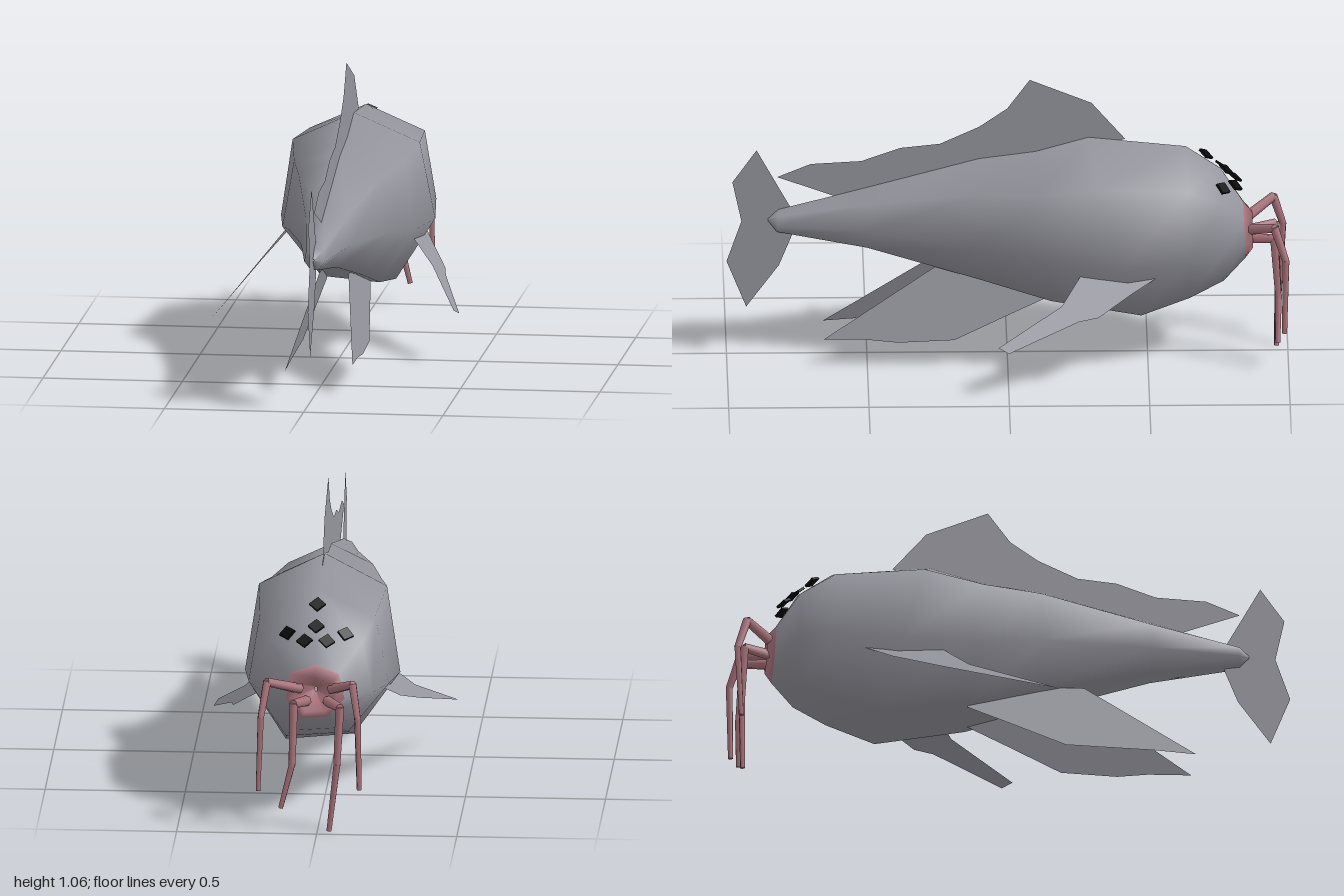
import * as THREE from 'three';
import { mergeGeometries } from 'three/addons/utils/BufferGeometryUtils.js';

const CX = 0.015; // the body's own centre line

// Seven-sided cross-section, clockwise from the ridge of the back
const SECTION = [[0, 1], [0.84, 0.66], [1, -0.26], [0.46, -1], [-0.42, -0.93], [-1, -0.26], [-0.81, 0.66]];

// Rings: [z at top, top y, z at bottom, bottom y, half width]
function loft(rings) {
  const n = SECTION.length, pos = [], idx = [];
  for (const [zt, top, zb, bot, w] of rings) {
    for (const [u, v] of SECTION) {
      const t = (v + 1) / 2;
      pos.push(CX + u * w, bot + (top - bot) * t, zb + (zt - zb) * t);
    }
  }
  for (let i = 0; i < rings.length - 1; i++) {
    for (let j = 0; j < n; j++) {
      const a = i * n + j, b = i * n + (j + 1) % n;
      idx.push(a, b, a + n, b, b + n, a + n);
    }
  }
  const g = new THREE.BufferGeometry();
  g.setAttribute('position', new THREE.Float32BufferAttribute(pos, 3));
  g.setIndex(idx);
  g.computeVertexNormals();
  return g;
}

// Flat outline lifted into space by a rule (u, v) -> [x, y, z]
function fin(outline, place) {
  const g = new THREE.ShapeGeometry(new THREE.Shape(outline.map(([u, v]) => new THREE.Vector2(u, v))));
  const p = g.attributes.position;
  for (let i = 0; i < p.count; i++) p.setXYZ(i, ...place(p.getX(i), p.getY(i)));
  g.computeVertexNormals();
  return g;
}

// Jointed limb tapering from its root to its tip
function limb(points, r0, r1) {
  const pts = points.map(p => new THREE.Vector3(...p));
  const parts = [], up = new THREE.Vector3(0, 1, 0), last = pts.length - 1;
  for (let i = 0; i < last; i++) {
    const d = pts[i + 1].clone().sub(pts[i]);
    const r = k => r0 + (r1 - r0) * k / last;
    const g = new THREE.CylinderGeometry(r(i + 1), r(i), d.length() + 0.006, 6);
    g.applyQuaternion(new THREE.Quaternion().setFromUnitVectors(up, d.normalize()));
    const m = pts[i].clone().add(pts[i + 1]).multiplyScalar(0.5);
    parts.push(g.translate(m.x, m.y, m.z));
  }
  return mergeGeometries(parts);
}

export function createModel() {
  const model = new THREE.Group();
  const mat = (name, color) => new THREE.MeshStandardMaterial({ name, color, side: THREE.DoubleSide });
  const grey = mat('skin grey', 0x96969f);
  const pink = mat('flesh pink', 0xac757d);
  const black = mat('eye black', 0x08080a);
  const add = (name, geometry, material) => {
    const mesh = new THREE.Mesh(geometry, material);
    mesh.name = name;
    model.add(mesh);
    return mesh;
  };

  // Body, from the tail tip to the rim of the mouth
  add('body', loft([
    [0.853, 0.53, 0.853, 0.522, 0.004],
    [0.815, 0.565, 0.82, 0.485, 0.036],
    [0.5, 0.648, 0.5, 0.432, 0.088],
    [0.1, 0.757, 0.1, 0.325, 0.183],
    [-0.1, 0.783, -0.155, 0.25, 0.237],
    [-0.29, 0.837, -0.476, 0.2, 0.277],
    [-0.636, 0.8, -0.65, 0.262, 0.25],
    [-0.76, 0.714, -0.77, 0.318, 0.2],
    [-0.84, 0.585, -0.85, 0.39, 0.105],
  ]), grey);

  // Mouth: a rim that folds inward
  add('mouth', loft([
    [-0.84, 0.585, -0.85, 0.39, 0.105],
    [-0.873, 0.545, -0.875, 0.42, 0.075],
    [-0.79, 0.49, -0.79, 0.47, 0.004],
  ]), pink);

  // Back fin and tail fin, outlined in z and y
  const upright = (z, y) => [CX, y, z];
  add('backFin', fin([
    [0.82, 0.69], [0.7, 0.74], [0.52, 0.75], [0.38, 0.8], [0.24, 0.815], [0.1, 0.88], [0, 0.95],
    [-0.08, 1.06], [-0.3, 0.97], [-0.42, 0.83], [-0.3, 0.79], [-0.1, 0.75], [0.1, 0.72], [0.6, 0.61],
  ], upright), grey);
  add('tailFin', fin([
    [0.893, 0.794], [0.979, 0.671], [0.947, 0.52], [1, 0.366], [0.93, 0.19],
    [0.813, 0.35], [0.765, 0.47], [0.765, 0.56],
  ], upright), grey);

  // Side fins, outlined in x and z, sloping down and out
  const sloped = (x, z) => [x, 0.385 - (Math.abs(x) - 0.24) * 1.1, z];
  add('leftSideFin', fin([
    [0.23, -0.55], [0.28, -0.44], [0.34, -0.32], [0.35, -0.25], [0.43, 0], [0.415, 0.037], [0.31, -0.19], [0.22, -0.27],
  ], sloped), grey);
  add('rightSideFin', fin([
    [-0.21, -0.55], [-0.265, -0.44], [-0.32, -0.26], [-0.435, 0.15], [-0.3, -0.17], [-0.2, -0.27],
  ], sloped), grey);

  // Belly fins, outlined in z and y, splayed slightly
  for (const [name, side, x0, drop] of [['leftBellyFin', 1, 0.07, 0], ['rightBellyFin', -1, 0.043, 0.03]]) {
    add(name, fin([
      [0.655, 0.11 - drop], [0.26, 0.36], [-0.1, 0.35], [-0.16, 0.26], [0, 0.19],
      [0.19, 0.105], [0.39, 0.097], [0.5, 0.108 - drop / 2],
    ], (z, y) => [side * (x0 + (0.345 - y) * 0.26), y, z]), grey);
  }

  // Feelers around the mouth
  [
    [[-0.045, 0.5, -0.855], [-0.125, 0.545, -0.95], [-0.145, 0.43, -0.985], [-0.15, 0.165, -0.972]],
    [[-0.03, 0.455, -0.855], [-0.08, 0.46, -0.955], [-0.07, 0.25, -0.965], [-0.042, 0.007, -0.96]],
    [[0.045, 0.455, -0.855], [0.085, 0.47, -0.95], [0.09, 0.25, -0.965], [0.13, 0.09, -0.962]],
    [[0.07, 0.5, -0.855], [0.18, 0.55, -0.95], [0.2, 0.43, -0.99], [0.21, 0.16, -0.985]],
  ].forEach((path, i) => add('feeler' + (i + 1), limb(path, 0.019, 0.009), pink));

  // Diamond eyes on the brow
  [
    [0, 0.77, -0.708], [0, 0.71, -0.78], [0.04, 0.665, -0.812], [-0.04, 0.665, -0.812],
    [0.104, 0.68, -0.768], [-0.104, 0.68, -0.768],
  ].forEach(([x, y, z], i) => {
    const eye = add('eye' + (i + 1), new THREE.BoxGeometry(0.042, 0.009, 0.042).rotateY(Math.PI / 4), black);
    eye.position.set(CX + x, y, z);
    eye.quaternion.setFromUnitVectors(new THREE.Vector3(0, 1, 0), new THREE.Vector3(x * 3, 0.8, -0.6).normalize());
  });

  return model;
}
